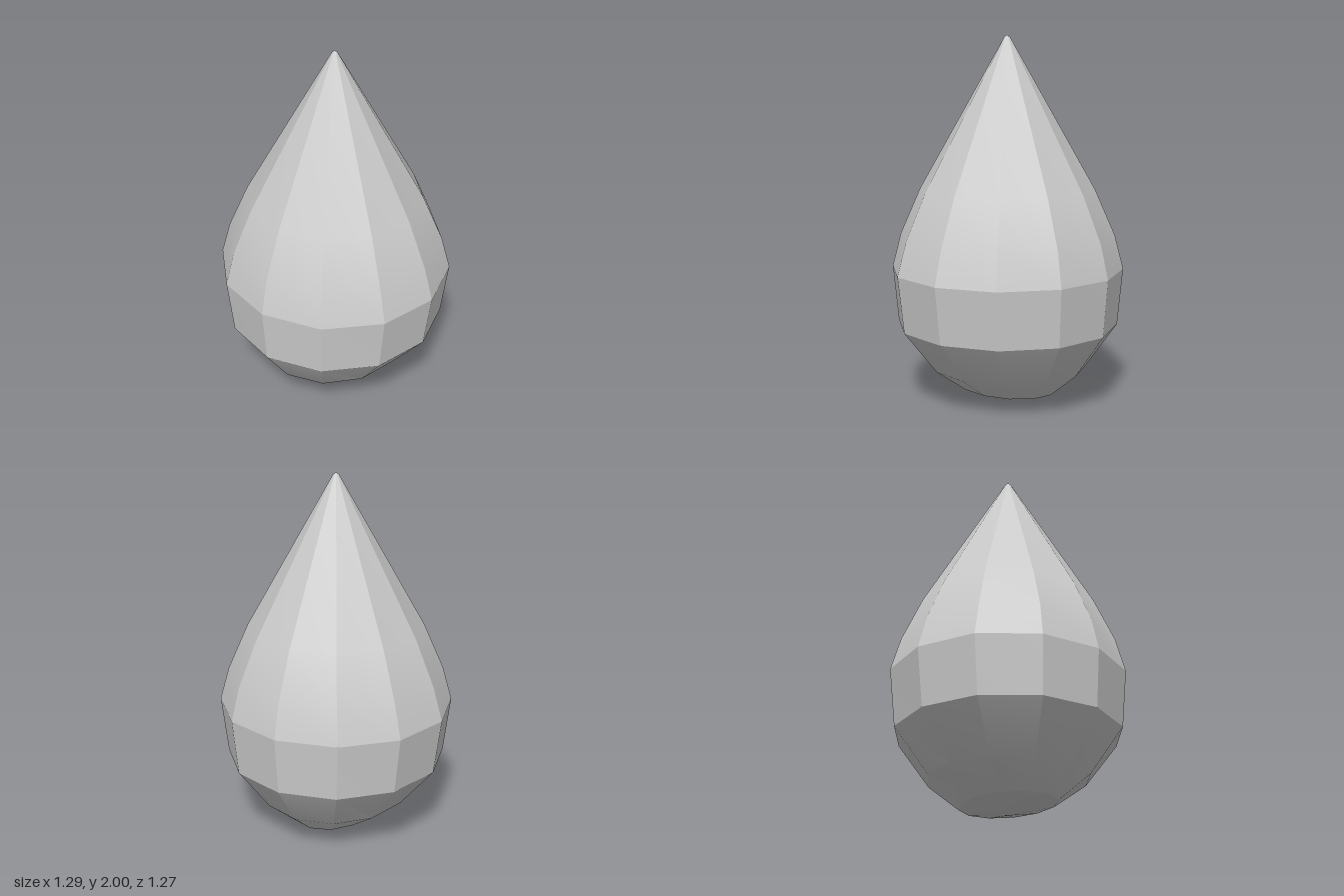
import * as THREE from 'three';
import { toCreasedNormals } from 'three/addons/utils/BufferGeometryUtils.js';

export function createModel() {
  const group = new THREE.Group();
  group.name = 'teardrop';
  const grey = new THREE.MeshStandardMaterial({ color: 0xcccccc });
  grey.name = 'light grey';

  // Rings from bottom to tip: half-width in x, height, half-depth in z
  const rings = [
    [0, 0, 0],
    [0.22, 0.055, 0.29],
    [0.41, 0.185, 0.445],
    [0.605, 0.425, 0.61],
    [0.645, 0.735, 0.635],
    [0.59, 0.92, 0.59],
    [0.48, 1.17, 0.48],
    [0.015, 1.99, 0.015],
    [0, 2, 0],
  ];

  // Twelve-sided drop, its lower rings slightly oval
  const lathe = new THREE.LatheGeometry(rings.map(([x, y]) => new THREE.Vector2(x, y)), 12);
  const pos = lathe.attributes.position;
  for (let i = 0; i < pos.count; i++) {
    const [rx, , rz] = rings[i % rings.length];
    if (rx > 0) pos.setZ(i, pos.getZ(i) * rz / rx);
  }

  // Sharp facet edges, soft bends along the taper
  const drop = new THREE.Mesh(toCreasedNormals(lathe, 0.3), grey);
  drop.name = 'dropBody';
  group.add(drop);
  return group;
}
